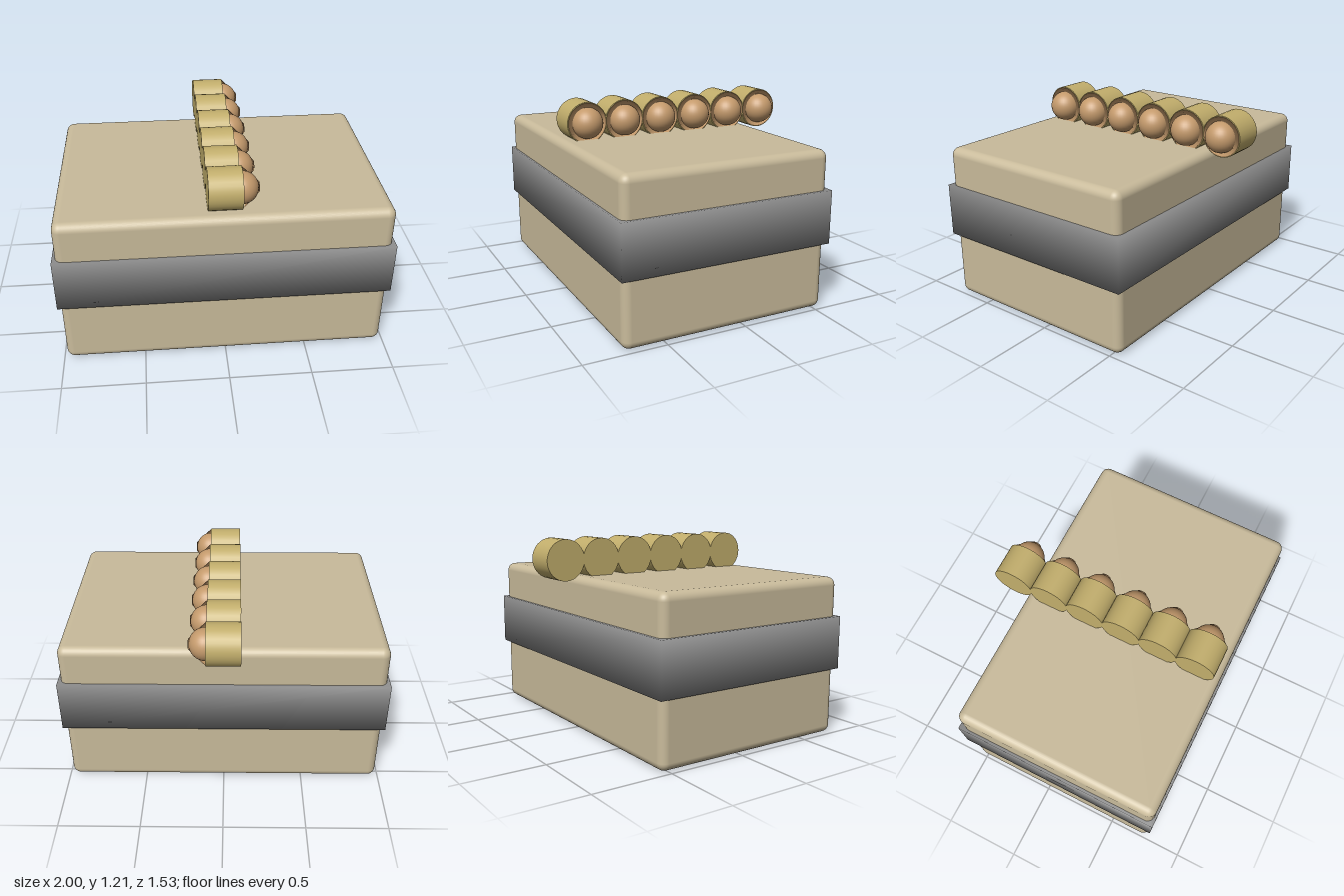
import * as THREE from 'three';
import { mergeVertices } from 'three/addons/utils/BufferGeometryUtils.js';
import { RoundedBoxGeometry } from 'three/addons/geometries/RoundedBoxGeometry.js';

// Weld the corners so that shading runs smoothly across the edges
function smooth(geometry) {
  geometry.deleteAttribute('normal');
  geometry.deleteAttribute('uv');
  const welded = mergeVertices(geometry, 1e-4);
  welded.computeVertexNormals();
  return welded;
}

// Reverse the corner order so that the faces look inward
function insideOut(geometry) {
  geometry.index.array.reverse();
  return smooth(geometry);
}

export function createModel() {
  const model = new THREE.Group();
  const material = (name, color) => {
    const m = new THREE.MeshStandardMaterial({ color });
    m.name = name;
    return m;
  };
  const tan = material('tan', 0xc9bb9b);
  const grey = material('grey', 0x888888);
  const brass = material('brass', 0xc2ae6c);
  const copper = material('copper', 0xc49a6c);

  const add = (parent, name, geometry, mat, x, y, z) => {
    const mesh = new THREE.Mesh(geometry, mat);
    mesh.name = name;
    mesh.position.set(x, y, z);
    parent.add(mesh);
    return mesh;
  };

  // Carton and the band around it
  add(model, 'carton', new RoundedBoxGeometry(1.964, 0.982, 1.31, 4, 0.05), tan, 0, 0.491, 0.1);
  add(model, 'band', smooth(new THREE.BoxGeometry(2, 0.328, 1.342)), grey, 0, 0.576, 0.098);

  // Row of cartridges lying across the lid, tips towards +x
  const caseGeometry = new THREE.CylinderGeometry(0.127, 0.127, 0.2, 32).rotateZ(-Math.PI / 2);
  const shellGeometry = insideOut(new THREE.CylinderGeometry(0.03, 0.122, 0.098, 32)).rotateZ(-Math.PI / 2);
  const ballGeometry = new THREE.SphereGeometry(0.096, 32, 20);
  for (let i = 0; i < 6; i++) {
    const cartridge = new THREE.Group();
    cartridge.name = 'cartridge' + (i + 1);
    cartridge.position.set(0, 1.086, 0.592 - i * 0.246);
    add(cartridge, 'case', caseGeometry, brass, 0, 0, 0);
    add(cartridge, 'tipShell', shellGeometry, copper, 0.151, 0, 0);
    add(cartridge, 'tipCore', ballGeometry, copper, 0.102, 0, 0);
    model.add(cartridge);
  }
  return model;
}
